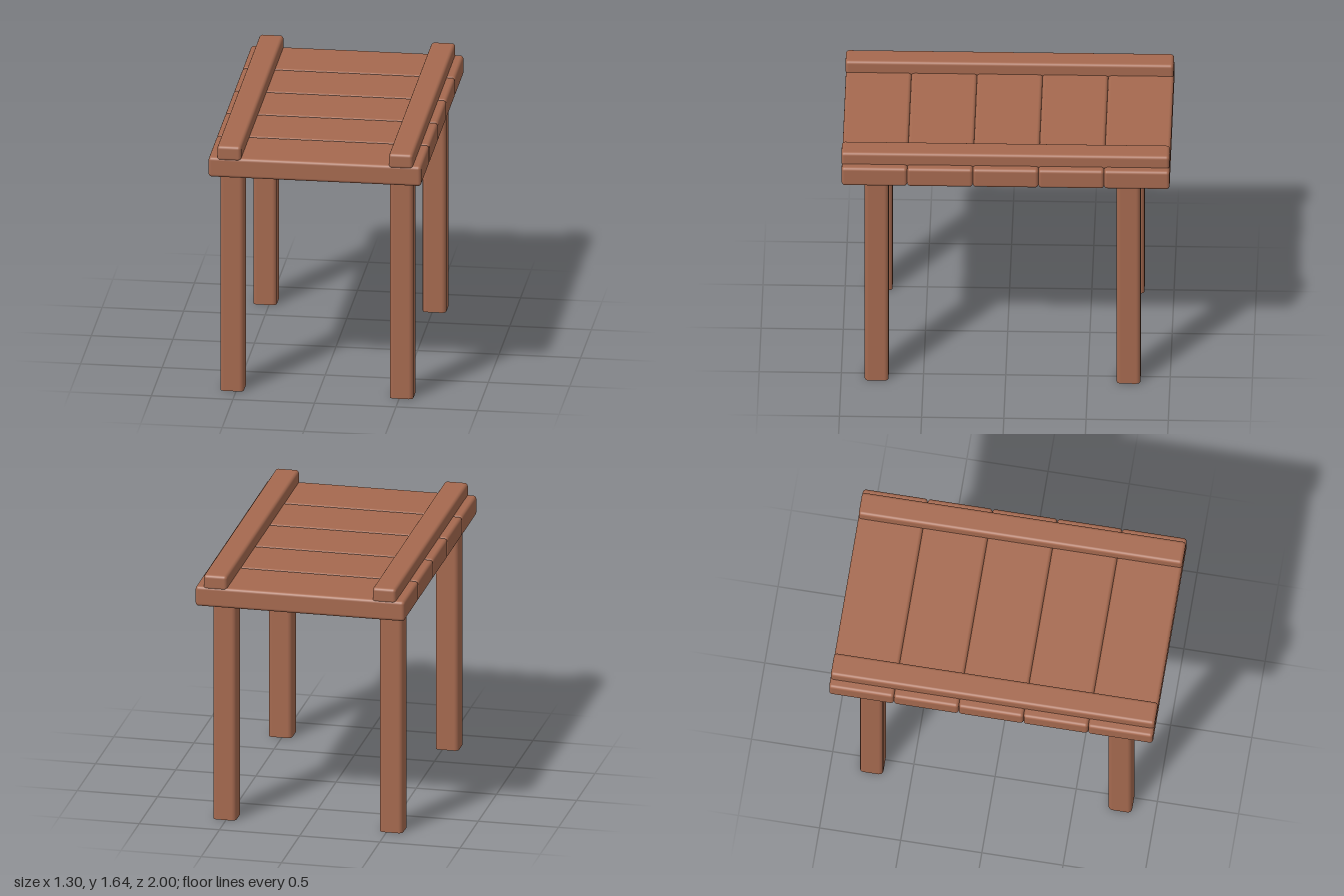
import * as THREE from 'three';
import { RoundedBoxGeometry } from 'three/addons/geometries/RoundedBoxGeometry.js';

// Open square tube standing on y = 0, with rounded vertical corners
function legGeometry(width, height, radius, steps = 4) {
  const pos = [], nor = [], idx = [];
  const c = width / 2 - radius;
  for (let q = 0; q <= 4; q++) {
    const mid = Math.PI / 4 + q * Math.PI / 2;
    const cx = c * Math.sign(Math.cos(mid)), cz = c * Math.sign(Math.sin(mid));
    for (let s = 0; s <= (q < 4 ? steps : 0); s++) {
      const a = (q + s / steps) * Math.PI / 2;
      const nx = Math.cos(a), nz = Math.sin(a);
      for (const y of [0, height]) {
        pos.push(cx + radius * nx, y, cz + radius * nz);
        nor.push(nx, 0, nz);
      }
    }
  }
  for (let i = 0; i < pos.length / 3 - 2; i += 2) {
    idx.push(i, i + 1, i + 2, i + 1, i + 3, i + 2);
  }
  const g = new THREE.BufferGeometry();
  g.setAttribute('position', new THREE.Float32BufferAttribute(pos, 3));
  g.setAttribute('normal', new THREE.Float32BufferAttribute(nor, 3));
  g.setIndex(idx);
  return g;
}

export function createModel() {
  const model = new THREE.Group();
  const wood = new THREE.MeshStandardMaterial({ color: 0xa5694f, side: THREE.DoubleSide });
  wood.name = 'brown wood';

  const add = (name, geometry, x, y, z) => {
    const mesh = new THREE.Mesh(geometry, wood);
    mesh.name = name;
    mesh.position.set(x, y, z);
    model.add(mesh);
  };

  // Five planks laid side by side across the top
  const pitch = 0.399;
  const plank = new RoundedBoxGeometry(1.304, 0.128, pitch, 3, 0.02);
  for (let i = 0; i < 5; i++) add('plank', plank, 0, 1.495, (i - 2) * pitch - 0.002);

  // Two long rails on top of the planks
  const rail = new RoundedBoxGeometry(0.147, 0.095, 1.995, 3, 0.02);
  add('rightRail', rail, -0.525, 1.588, 0);
  add('leftRail', rail, 0.528, 1.588, 0);

  // Four hollow legs
  const leg = legGeometry(0.145, 1.44, 0.026);
  for (const x of [-0.527, 0.512]) {
    add('frontLeg', leg, x, 0, 0.784);
    add('backLeg', leg, x, 0, -0.748);
  }
  return model;
}
